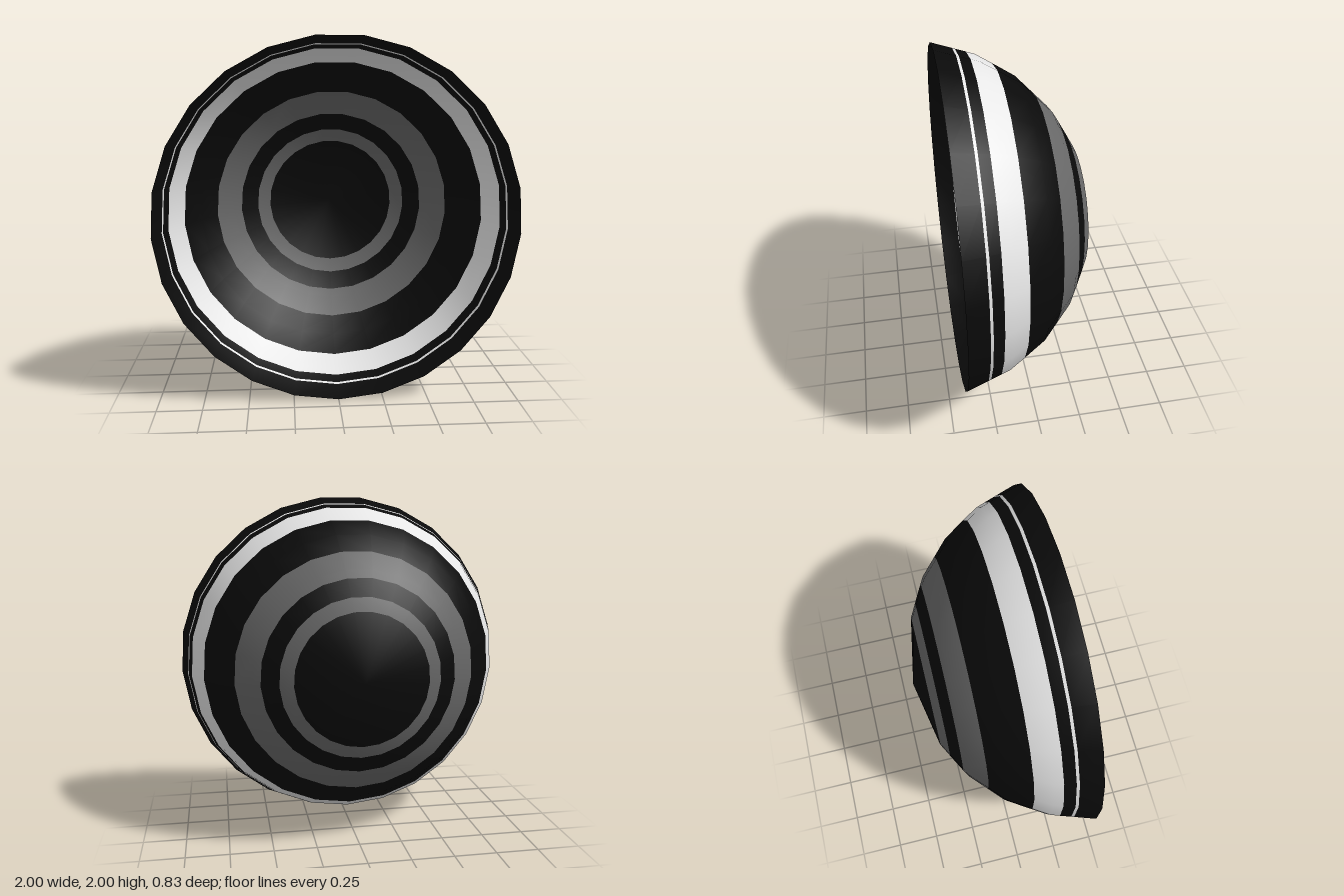
import * as THREE from 'three';

const SEGMENTS = 25;
const SPHERE_Z = 0.605; // centre of the sphere that the shell is cut from

// Shell profile from the back tip to the open rim: [radius, z, colour of the strip that starts here]
const PROFILE = [
  [0, -0.415, 'black'],
  [0.38, -0.341, 'grey'],
  [0.456, -0.3, 'black'],
  [0.555, -0.246, 'grey'],
  [0.6, -0.22, 'grey'],
  [0.694, -0.131, 'black'],
  [0.785, -0.045, 'black'],
  [0.865, 0.08, 'white'],
  [0.921, 0.17, 'white'],
  [0.938, 0.22, 'black'],
  [0.958, 0.28, 'white'],
  [0.963, 0.295, 'black'],
  [1.002, 0.413, null],
];

export function createModel() {
  const group = new THREE.Group();
  group.name = 'stripedBowl';

  const make = (name, color) => {
    const m = new THREE.MeshStandardMaterial({ color, side: THREE.DoubleSide });
    m.name = name;
    return m;
  };
  const materials = {
    black: make('black', 0x0a0a0a),
    grey: make('grey', 0x686868),
    white: make('white', 0xeeeeee),
  };

  // One open shell, opening towards the front
  const points = PROFILE.map(([r, z]) => new THREE.Vector2(r, z));
  const shell = new THREE.LatheGeometry(points, SEGMENTS);
  shell.rotateX(Math.PI / 2);

  // Smooth normals pointing away from the sphere centre
  const pos = shell.attributes.position;
  const v = new THREE.Vector3();
  for (let i = 0; i < pos.count; i++) {
    v.fromBufferAttribute(pos, i);
    v.z -= SPHERE_Z;
    v.normalize();
    shell.attributes.normal.setXYZ(i, v.x, v.y, v.z);
  }
  shell.translate(0, 1.005, 0);

  // Split the shell into one ring per run of equal colour
  const all = shell.index.array;
  const n = PROFILE.length;
  let start = 0;
  while (start < n - 1) {
    const color = PROFILE[start][2];
    let end = start + 1;
    while (PROFILE[end][2] === color) end++;
    const index = [];
    for (let t = 0; t < all.length; t += 3) {
      const tri = [all[t], all[t + 1], all[t + 2]];
      const row = Math.min(...tri.map((k) => k % n));
      if (row >= start && row < end) index.push(...tri);
    }
    const geometry = shell.clone();
    geometry.setIndex(index);
    const mesh = new THREE.Mesh(geometry, materials[color]);
    mesh.name = start === 0 ? 'centreDisc' : end === n - 1 ? 'rim' : `${color}Ring${start}`;
    group.add(mesh);
    start = end;
  }
  return group;
}
